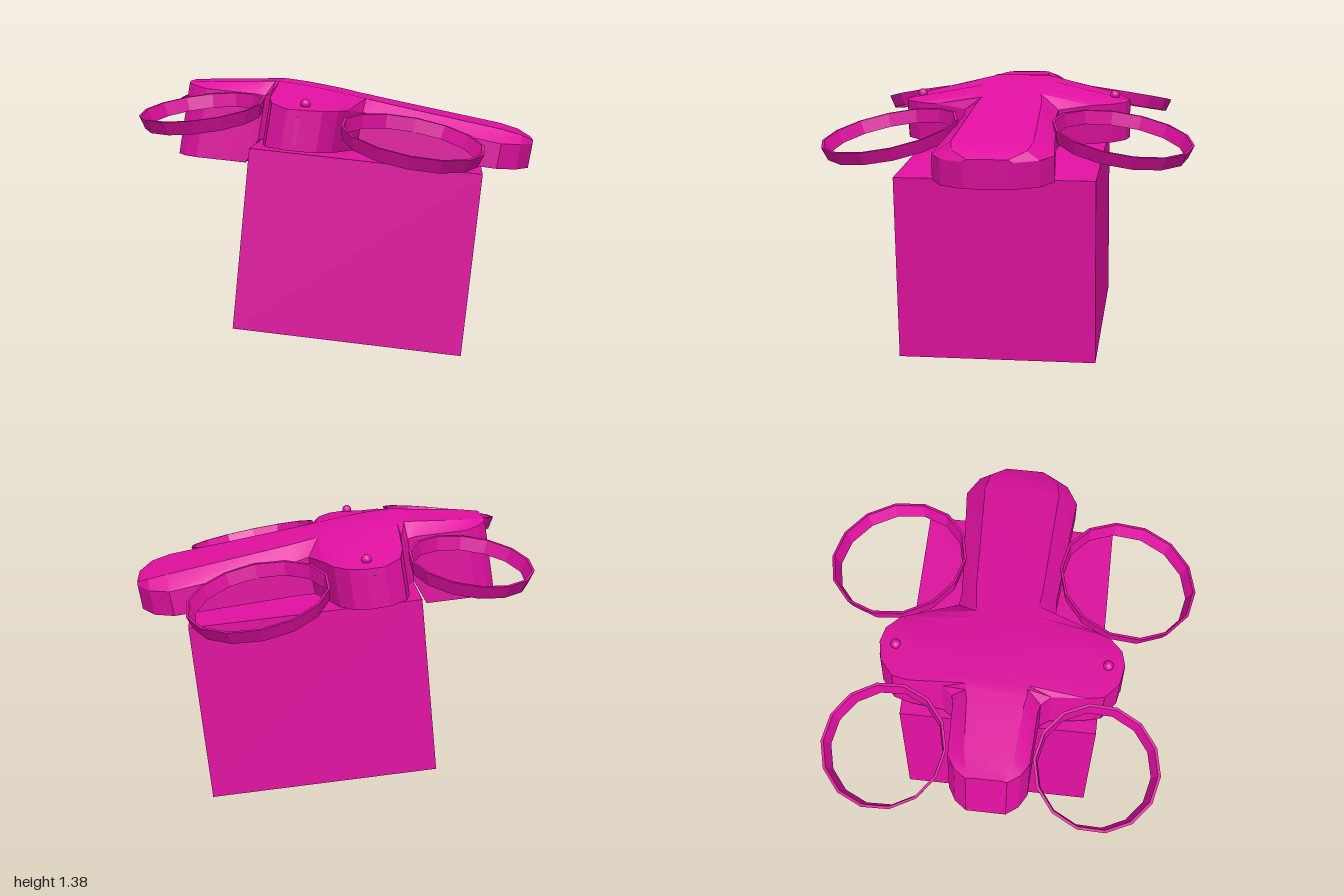
import * as THREE from 'three';
import { toCreasedNormals } from 'three/addons/utils/BufferGeometryUtils.js';

const MID_Z = 0.012; // centre plane of the aircraft
const LEAN = 0.17;   // walls lean with the forward pitch

// Body stations: x, half width, crest half width, crest y, rim y, belly y
const STATIONS = [
  [-0.855, 0.10, 0.08, 1.390, 1.380, 1.000],
  [-0.81, 0.16, 0.10, 1.390, 1.370, 0.995],
  [-0.74, 0.20, 0.12, 1.392, 1.355, 0.990],
  [-0.47, 0.21, 0.14, 1.393, 1.330, 0.965],
  [-0.42, 0.22, 0.15, 1.395, 1.320, 1.090],
  [-0.385, 0.27, 0.15, 1.395, 1.340, 1.090],
  [-0.365, 0.44, 0.15, 1.393, 1.325, 1.088],
  [-0.34, 0.53, 0.15, 1.390, 1.305, 1.085],
  [-0.25, 0.60, 0.15, 1.378, 1.280, 1.078],
  [-0.15, 0.62, 0.15, 1.360, 1.275, 1.070],
  [-0.07, 0.60, 0.15, 1.345, 1.270, 1.062],
  [0.00, 0.53, 0.15, 1.330, 1.265, 1.055],
  [0.04, 0.42, 0.15, 1.320, 1.260, 1.050],
  [0.11, 0.25, 0.16, 1.305, 1.240, 1.042],
  [0.20, 0.245, 0.17, 1.285, 1.210, 1.032],
  [0.855, 0.30, 0.20, 1.150, 1.085, 0.955],
  [0.96, 0.24, 0.18, 1.120, 1.075, 0.945],
  [1.03, 0.12, 0.10, 1.085, 1.070, 0.940],
];

// Closed skin through the six-sided stations
function bodyGeometry() {
  const pos = [], idx = [], n = 6, last = (STATIONS.length - 1) * n;
  for (const [x, w, c, top, rim, belly] of STATIONS) {
    const section = [[w, belly], [w, rim], [c, top], [-c, top], [-w, rim], [-w, belly]];
    for (const [z, y] of section) pos.push(x + LEAN * (y - 1.25), y, z + MID_Z);
  }
  for (let a = 0; a < last; a += n) {
    for (let j = 0; j < n; j++) {
      const k = (j + 1) % n;
      idx.push(a + j, a + n + j, a + n + k, a + j, a + n + k, a + k);
    }
  }
  for (let j = 1; j < n - 1; j++) {
    idx.push(0, j, j + 1, last, last + j + 1, last + j);
  }
  const g = new THREE.BufferGeometry();
  g.setAttribute('position', new THREE.Float32BufferAttribute(pos, 3));
  g.setIndex(idx);
  return toCreasedNormals(g, 0.35);
}

// Thin, slightly tapered hoop
function hoopGeometry(r) {
  const h = 0.035;
  const profile = [[r - 0.02, -h], [r, h], [r - 0.014, h], [r - 0.034, -h], [r - 0.02, -h]];
  return new THREE.LatheGeometry(profile.map(([x, y]) => new THREE.Vector2(x, y)), 14);
}

export function createModel() {
  const model = new THREE.Group();
  model.name = 'deliveryDrone';
  const paint = new THREE.MeshStandardMaterial({ color: 0xe010a0 });
  const facet = new THREE.MeshStandardMaterial({
    color: 0xe010a0, flatShading: true, side: THREE.DoubleSide,
  });

  const add = (name, geometry, material, x, y, z) => {
    const mesh = new THREE.Mesh(geometry, material);
    mesh.name = name;
    mesh.position.set(x, y, z);
    model.add(mesh);
    return mesh;
  };

  add('body', bodyGeometry(), paint, 0, 0, 0);

  // Parcel hanging under the body, pitched forward
  const parcel = add('parcel', new THREE.BoxGeometry(1.186, 0.945, 1.005), paint, 0.09, 0.543, 0.022);
  parcel.rotation.z = -0.103;

  const up = new THREE.Vector3(0, 1, 0);
  for (const s of [1, -1]) {
    const side = s > 0 ? 'Front' : 'Back';

    // Propeller guards, tilted outward
    const wide = add('wideGuard' + side, hoopGeometry(0.366), facet, 0.375, 1.118, MID_Z + s * 0.6);
    wide.quaternion.setFromUnitVectors(up, new THREE.Vector3(0.195, 1, 0.17 * s).normalize());
    const small = add('smallGuard' + side, hoopGeometry(0.318), facet, -0.682, 1.25, MID_Z + s * 0.52);
    small.quaternion.setFromUnitVectors(up, new THREE.Vector3(-0.1, 1, 0.15 * s).normalize());

    // Knob and side slot on each arm
    add('knob' + side, new THREE.SphereGeometry(0.026, 12, 8), paint, -0.16, 1.302, MID_Z + s * 0.535);
    const slot = add('slot' + side, new THREE.BoxGeometry(0.045, 0.14, 0.02), paint, -0.19, 1.17, MID_Z + s * 0.605);
    slot.rotation.z = -0.17;
  }
  return model;
}
